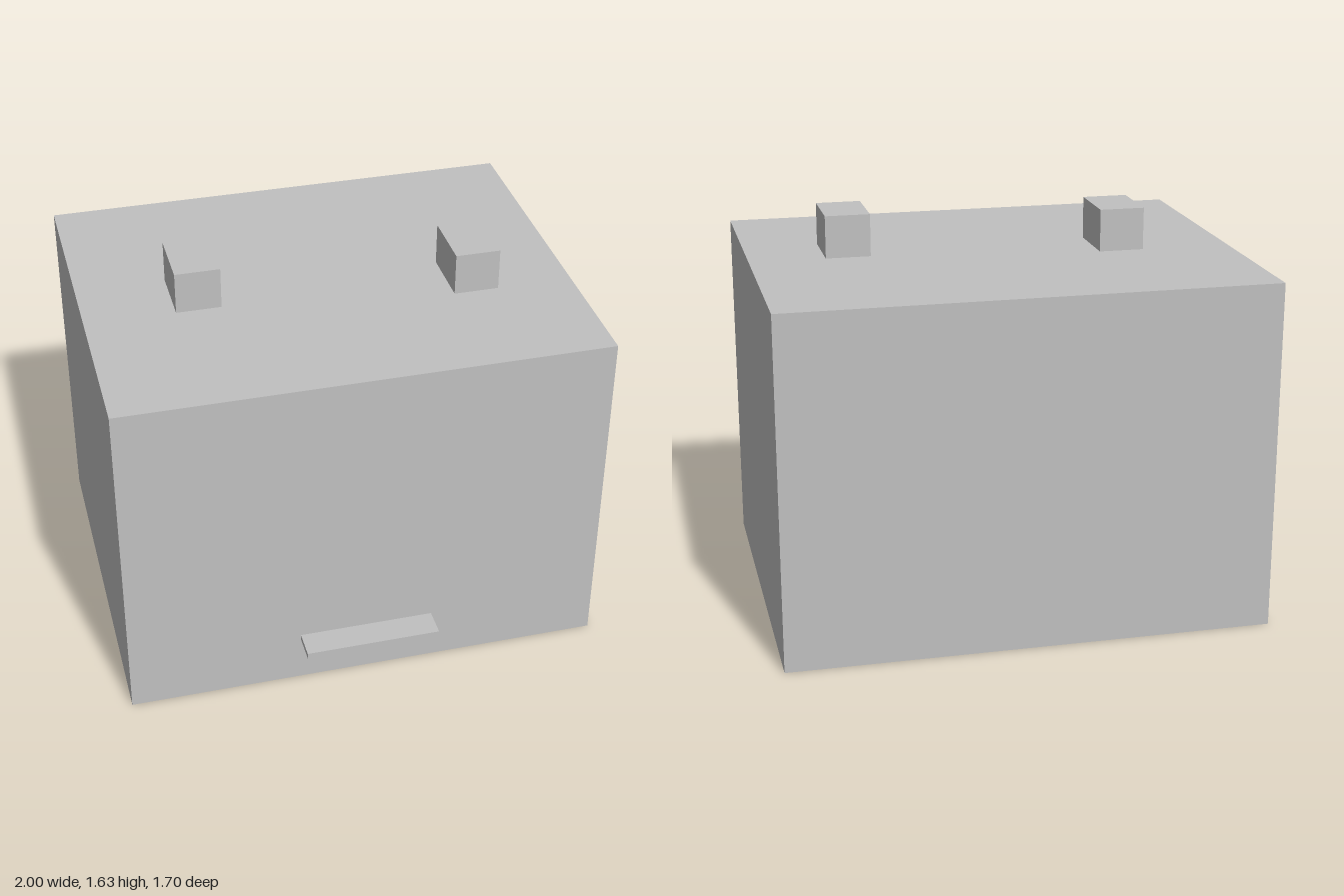
import * as THREE from 'three';

const grey = new THREE.MeshStandardMaterial({ color: 0xc0c0c0, side: THREE.DoubleSide });
grey.name = 'light grey';

// Box given by its lower and upper corners; openBottom leaves out the downward face
function box(name, min, max, openBottom = false) {
  const size = max.map((v, i) => v - min[i]);
  const geometry = new THREE.BoxGeometry(...size);
  if (openBottom) {
    const index = Array.from(geometry.index.array);
    index.splice(18, 6);
    geometry.setIndex(index);
    geometry.clearGroups();
  }
  const mesh = new THREE.Mesh(geometry, grey);
  mesh.name = name;
  mesh.position.set(...min.map((v, i) => v + size[i] / 2));
  return mesh;
}

export function createModel() {
  const model = new THREE.Group();
  model.name = 'building';

  // Hollow walls and flat roof, open underneath
  model.add(box('wallsAndRoof', [-1, 0, -0.848], [1, 1.452, 0.73], true));

  // Roof blocks
  model.add(box('rightRoofBlock', [-0.627, 1.452, -0.192], [-0.441, 1.628, 0.069], true));
  model.add(box('leftRoofBlock', [0.499, 1.452, -0.059], [0.685, 1.628, 0.202], true));

  // Thin ledge on the front wall
  model.add(box('frontLedge', [-0.281, 0.203, 0.73], [0.281, 0.227, 0.848]));

  return model;
}
